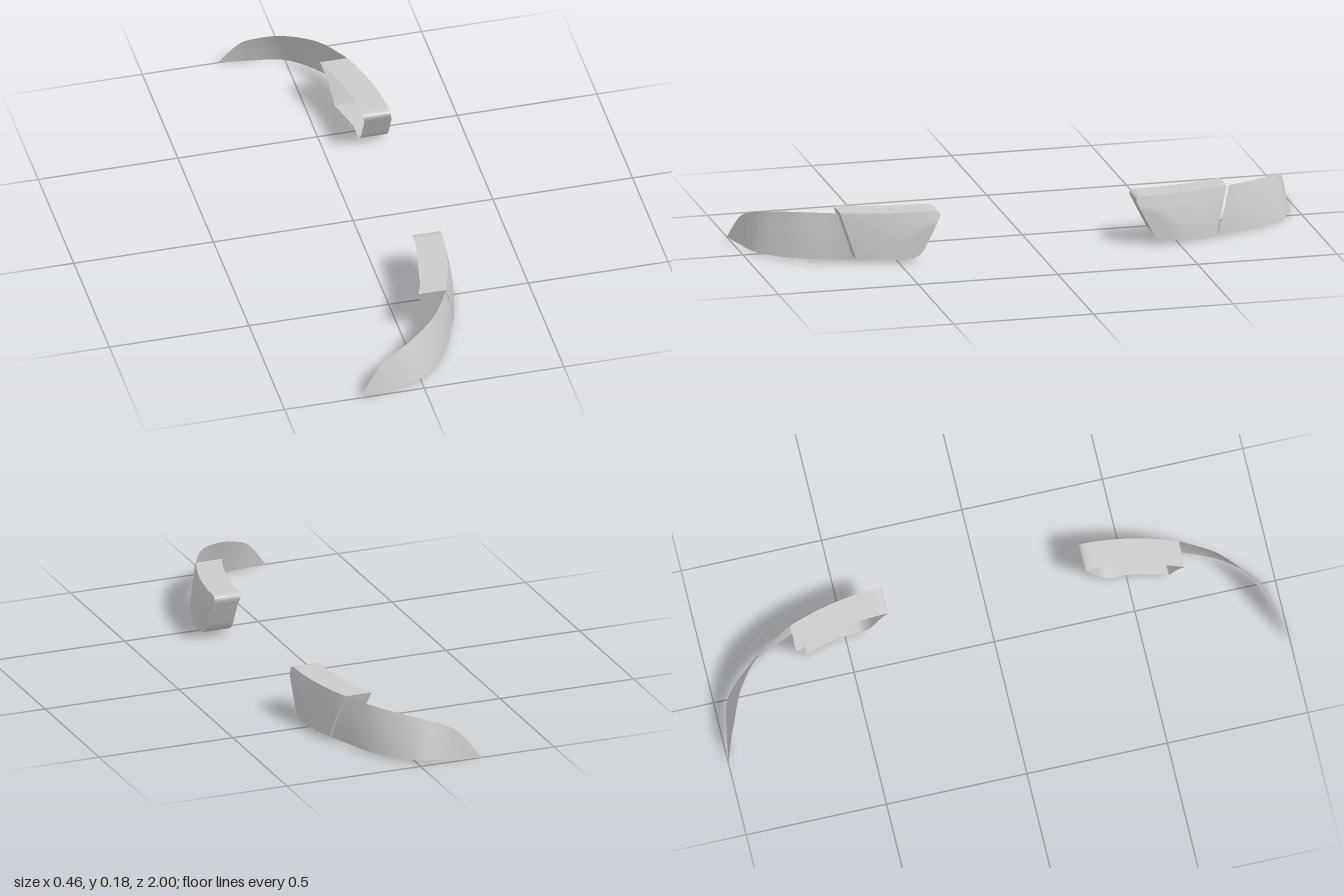
import * as THREE from 'three';
import { toCreasedNormals } from 'three/addons/utils/BufferGeometryUtils.js';

const material = new THREE.MeshStandardMaterial({ color: 0xcccccc, side: THREE.DoubleSide });
const lerp = THREE.MathUtils.lerp;
const curve = (pts) => new THREE.CatmullRomCurve3(pts.map((p) => new THREE.Vector3(...p)));

// Skin a grid of points (rows of equal length); side = -1 mirrors it in z
function sheet(rows, side) {
  const n = rows[0].length;
  const index = [];
  for (let j = 0; j < rows.length - 1; j++) {
    for (let i = 0; i < n - 1; i++) {
      const a = j * n + i, b = a + 1, c = b + n, d = a + n;
      if (side > 0) index.push(a, b, c, a, c, d);
      else index.push(a, c, b, a, d, c);
    }
  }
  const geo = new THREE.BufferGeometry();
  const flat = rows.flat().flatMap((p) => [p.x, p.y, p.z * side]);
  geo.setAttribute('position', new THREE.Float32BufferAttribute(flat, 3));
  geo.setIndex(index);
  geo.computeVertexNormals();
  return geo;
}

function mesh(geo, name) {
  const m = new THREE.Mesh(geo, material);
  m.name = name;
  return m;
}

// Slight outward bulge between lower and upper edge
const bulge = (v) => 0.004 * Math.sin(Math.PI * v);

// Curved lens: spans an upper and a lower edge that meet at the tip
function lensGeometry(side) {
  const top = curve([[0.153, 0.172, 0.7], [0.08, 0.165, 0.82], [-0.03, 0.143, 0.912],
    [-0.125, 0.113, 0.955], [-0.16, 0.09, 0.972], [-0.23, 0, 1]]);
  const bottom = curve([[0.193, 0.012, 0.653], [0.108, 0.008, 0.84], [0, 0.005, 0.95],
    [-0.12, 0.003, 0.981], [-0.17, 0.001, 0.99], [-0.23, 0, 1]]);
  const rows = [];
  for (let j = 0; j <= 10; j++) {
    const row = [];
    for (let i = 0; i <= 40; i++) {
      const t = 1 - i / 40;
      const p = bottom.getPoint(t).lerp(top.getPoint(t), j / 10);
      p.x += bulge(j / 10) * Math.min(1, i / 10);
      row.push(p);
    }
    rows.push(row);
  }
  // The columns run from the tip (high z) to the gap
  return sheet(rows, side);
}

// Outer face of the housing: slanted edge at the gap, rounded edge at the far end
function housingRows() {
  const end = curve([[0, 0.012, 0.47], [0, 0.017, 0.438], [0, 0.035, 0.415], [0, 0.09, 0.385],
    [0, 0.14, 0.36], [0, 0.16, 0.351], [0, 0.17, 0.353], [0, 0.176, 0.37]]);
  const rows = [];
  for (let j = 0; j <= 28; j++) {
    const e = end.getPoint(j / 28);
    const v = (e.y - 0.012) / 0.164;
    const row = [];
    for (let i = 0; i <= 16; i++) {
      const u = i / 16;
      const z = lerp(lerp(0.644, 0.692, v), e.z, u);
      const y = e.y - 0.003 * v * (1 - u);
      const x = 0.221 - 0.56 * (z - 0.35) ** 2 + 0.023 * (1 - v) + bulge(v);
      row.push(new THREE.Vector3(Math.min(x, 0.23), y, z));
    }
    rows.push(row);
  }
  return rows;
}

// Side walls: the border of the face swept inwards, open at the back
function wallGeometry(rows, side) {
  const last = rows[0].length - 1;
  const loop = [
    ...rows[0],
    ...rows.slice(1).map((r) => r[last]),
    ...rows[rows.length - 1].slice(0, last).reverse(),
    ...rows.slice(0, -1).reverse().map((r) => r[0]),
  ];
  const back = loop.map((p) => new THREE.Vector3(p.x - 0.098, p.y, p.z));
  return toCreasedNormals(sheet([back, loop], side), 0.7);
}

export function createModel() {
  const model = new THREE.Group();
  model.name = 'lampPair';
  for (const side of [1, -1]) {
    const lamp = new THREE.Group();
    lamp.name = side > 0 ? 'frontLamp' : 'rearLamp';
    const housing = new THREE.Group();
    housing.name = 'housing';
    const rows = housingRows();
    housing.add(mesh(sheet(rows, side), 'housingFace'), mesh(wallGeometry(rows, side), 'housingWalls'));
    lamp.add(mesh(lensGeometry(side), 'curvedLens'), housing);
    model.add(lamp);
  }
  return model;
}
